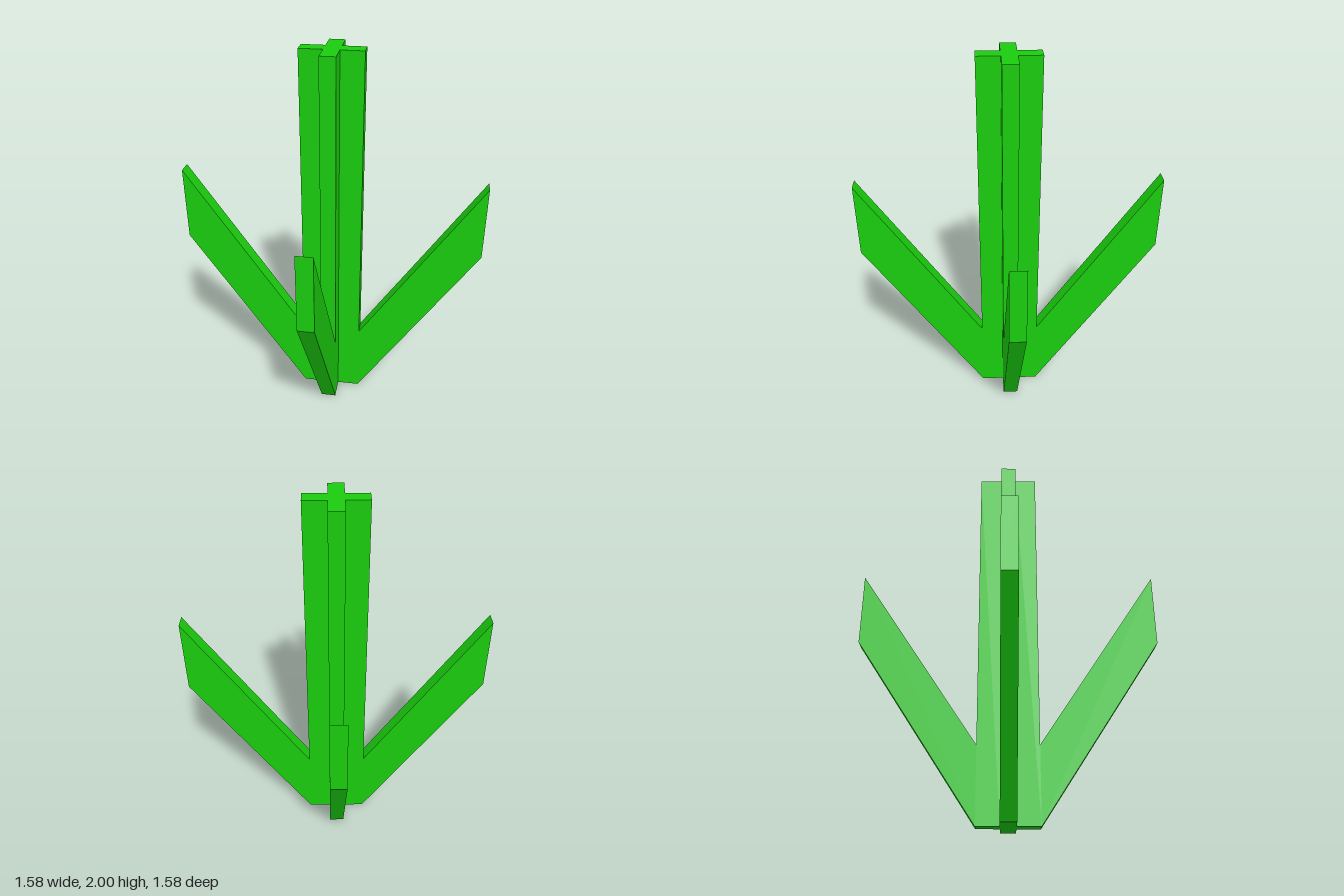
import * as THREE from 'three';

const HALF_THICK = 0.04; // half thickness of every slab
const STEM = 0.158;      // half width of the cross-shaped stem
const REACH = 0.79;      // how far the leaves spread
const HEIGHT = 2;

const toShape = (points) => new THREE.Shape(points.map(([x, y]) => new THREE.Vector2(x, y)));

export function createModel() {
  const group = new THREE.Group();
  group.name = 'plant';
  const green = new THREE.MeshStandardMaterial({ color: 0x1acc0e, flatShading: true });

  // Stem: a plus-shaped outline extruded upwards
  const t = HALF_THICK, s = STEM;
  const cross = toShape([
    [s, -t], [s, t], [t, t], [t, s], [-t, s], [-t, t],
    [-s, t], [-s, -t], [-t, -t], [-t, -s], [t, -s], [t, -t],
  ]);
  const stemGeometry = new THREE.ExtrudeGeometry(cross, { depth: HEIGHT, bevelEnabled: false });
  stemGeometry.rotateX(-Math.PI / 2);
  const stem = new THREE.Mesh(stemGeometry, green);
  stem.name = 'stem';
  group.add(stem);

  // Leaves: one slanted slab with upright ends, repeated on all four sides
  const slab = toShape([[s, 0], [REACH, 0.95], [REACH, 1.34], [s, 0.395]]);
  const leafGeometry = new THREE.ExtrudeGeometry(slab, { depth: 2 * t, bevelEnabled: false });
  leafGeometry.translate(0, 0, -t);
  ['leftLeaf', 'backLeaf', 'rightLeaf', 'frontLeaf'].forEach((name, i) => {
    const leaf = new THREE.Mesh(leafGeometry, green);
    leaf.name = name;
    leaf.rotation.y = (i * Math.PI) / 2;
    group.add(leaf);
  });

  return group;
}
